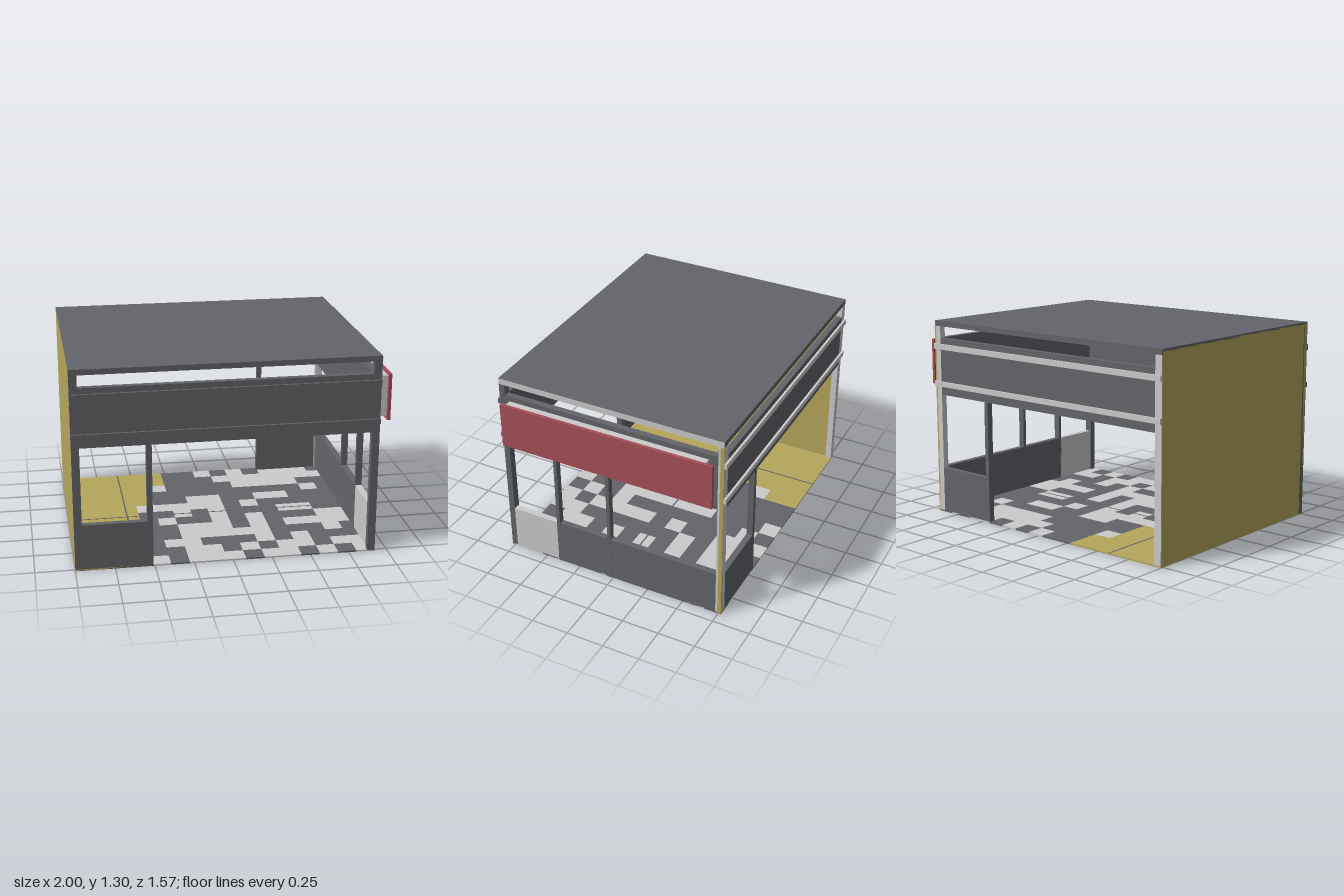
import * as THREE from 'three';

const X0 = -1, X1 = 0.92, Z = 0.77, H = 1.305, T = 0.04;
const mat = (color) => new THREE.MeshStandardMaterial({ color, flatShading: true });

export function createModel() {
  const model = new THREE.Group();
  const light = mat(0xcccccc), dark = mat(0x64656a), olive = mat(0xb5a75c), red = mat(0xa8505a);

  // Box given by its limits on each axis
  const block = (name, m, xa, xb, ya, yb, za, zb, parent = model) => {
    const mesh = new THREE.Mesh(new THREE.BoxGeometry(xb - xa, yb - ya, zb - za), m);
    mesh.position.set((xa + xb) / 2, (ya + yb) / 2, (za + zb) / 2);
    mesh.name = name;
    parent.add(mesh);
    return mesh;
  };

  // Roof and solid end wall
  block('roof', dark, X0, X1, 1.27, H, -Z, Z);
  block('roofSideEdge', light, X1 - 0.02, X1 + 0.002, 1.265, H - 0.002, -Z + 0.002, Z - 0.002);
  block('endWall', olive, X0, X0 + 0.03, 0, H - 0.002, -Z + 0.005, Z - 0.005);

  // Long open faces: the low panel sits at opposite ends on front and back
  for (const s of [1, -1]) {
    const face = new THREE.Group();
    face.name = s > 0 ? 'frontFace' : 'backFace';
    model.add(face);
    const trim = s > 0 ? dark : light;
    const bar = (name, m, xa, xb, ya, yb, inner = Z - T, outer = Z) =>
      block(name, m, xa, xb, ya, yb, Math.min(s * inner, s * outer), Math.max(s * inner, s * outer), face);
    bar('leftPost', trim, X1 - 0.05, X1, 0, 1.27);
    bar('rightPost', trim, X0, X0 + 0.05, 0, 1.27);
    bar('fascia', dark, X0 + 0.05, X1 - 0.05, 0.81, 1.19);
    bar('lowerRail', trim, X0, X1, 0.867, 0.9, Z, Z + 0.015);
    bar('upperRail', trim, X0, X1, 1.117, 1.153, Z, Z + 0.015);
    if (s > 0) {
      bar('lowPanel', dark, X0 + 0.05, -0.545, 0, 0.305);
      bar('mullion', dark, -0.545, -0.51, 0, 0.81);
    } else {
      bar('lowPanel', dark, 0.465, X1 - 0.05, 0, 0.305);
      bar('mullion', dark, 0.435, 0.465, 0, 0.81);
    }
  }
  block('cornerStrip', olive, X1 - 0.01, X1 + 0.003, 0, 1.265, -Z, -Z + 0.025);

  // Glazed side: low wall, slim mullions, beam under the open slot
  const xi = X1 - T;
  block('sideLowWall', dark, xi, X1, 0, 0.31, -Z + T, 0.4);
  block('sideLowWallEnd', light, xi, X1, 0, 0.31, 0.4, Z - T);
  block('sideBeam', dark, xi, X1, 0.81, 1.19, -Z + T, Z - T);
  for (const z of [0.395, 0.022]) block('sideMullion', dark, xi, X1 + 0.002, 0, 0.81, z - 0.012, z + 0.012);

  // Signboard
  block('signBox', light, X1, 0.98, 0.89, 1.155, -0.67, 0.7);
  block('signBoard', red, 0.98, 1, 0.867, 1.17, -0.73, 0.72);

  // Tiled floor with a stepped coloured zone along the end wall
  const floor = new THREE.Group();
  floor.name = 'floor';
  model.add(floor);
  const nx = 16, nz = 13, dx = (X1 - X0) / nx, dz = (2 * Z) / nz;
  let seed = 7;
  const rand = () => (seed = (seed * 16807) % 2147483647) / 2147483647;
  for (let i = 0; i < nx; i++) {
    for (let j = 0; j < nz; j++) {
      const zone = j < 2 ? 6 : j < 5 ? 5 : j < 7 ? 4 : 3;
      const m = i < zone ? olive : rand() < 0.5 ? light : dark;
      block('floorTile', m, X0 + i * dx, X0 + (i + 1) * dx, 0, 0.01, -Z + j * dz, -Z + (j + 1) * dz, floor);
    }
  }
  block('floorSeam', dark, -0.605, -0.595, 0.001, 0.011, -Z, Z, floor);
  block('floorSeam', dark, X0, X1, 0.001, 0.011, -0.005, 0.005, floor);
  return model;
}
